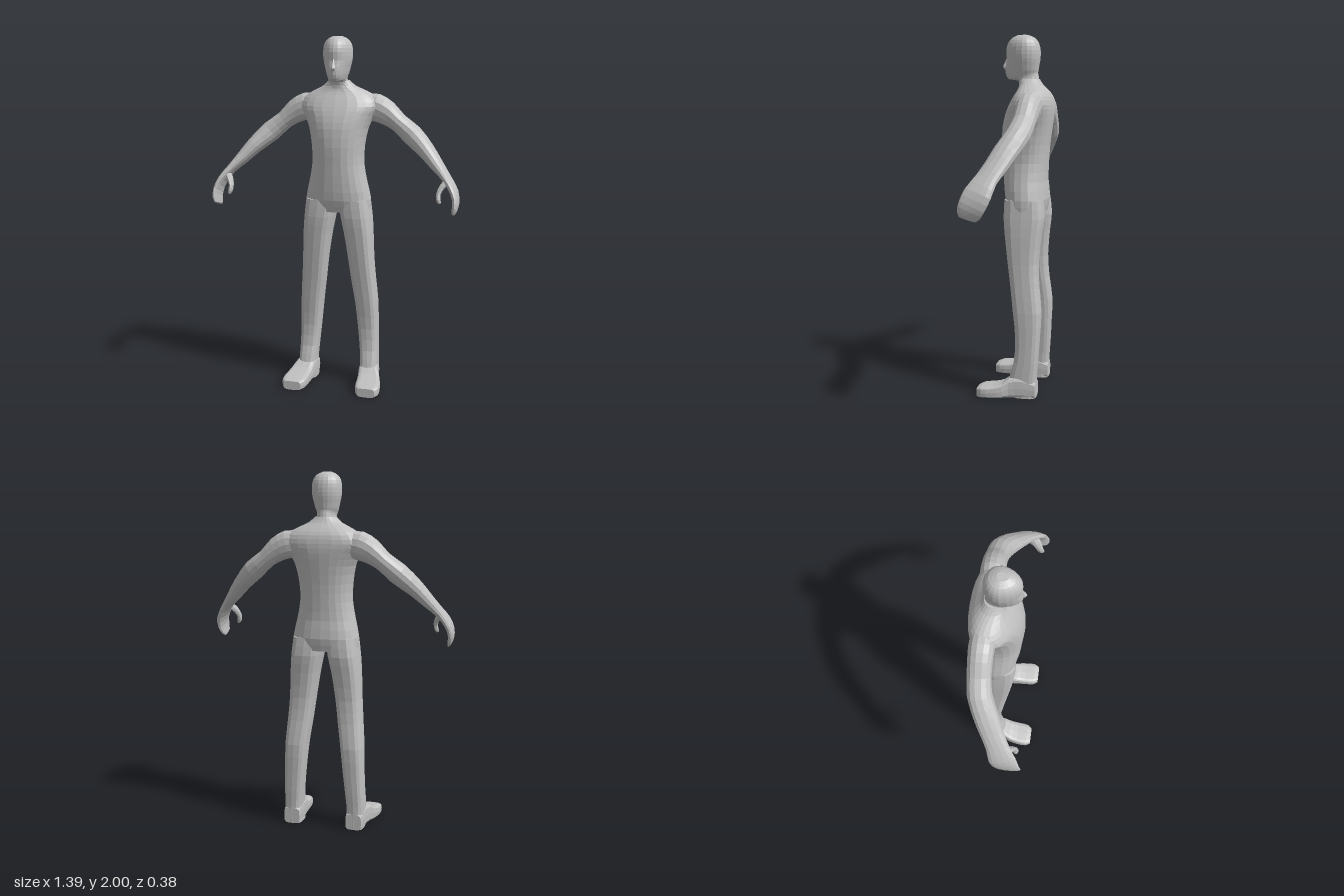
import * as THREE from 'three';

const V = (x, y, z) => new THREE.Vector3(x, y, z);
const skin = new THREE.MeshStandardMaterial({ color: 0xc0c0c0, flatShading: true });
skin.name = 'plain grey';

// signed power used for rounded-box cross-sections
const sp = (c, e) => Math.sign(c) * Math.pow(Math.abs(c), 2 / e);

// Horizontal ring; front and back may have different depths around z = zc,
// tilt raises the front edge relative to the back
function flatRing({ x = 0, y, w, zf, zb, zc = (zf + zb) / 2, e = 2.3, tilt = 0 }, n = 20) {
  return Array.from({ length: n }, (_, i) => {
    const a = (i / n) * Math.PI * 2;
    const c = sp(Math.cos(a), e), s = sp(Math.sin(a), e);
    return V(x + w * s, y + tilt * c, zc + c * (c > 0 ? zf - zc : zc - zb));
  });
}

// Rings along a limb path: each step is [x, y, z, half depth, half thickness]
function limbRings(steps, e = 2.2, n = 14) {
  const curve = new THREE.CatmullRomCurve3(steps.map(p => V(p[0], p[1], p[2])));
  return steps.map((p, k) => {
    const t = curve.getTangent(k / (steps.length - 1));
    const u = V(0, 0, 1).addScaledVector(t, -t.z).normalize();
    const v = t.clone().cross(u);
    return Array.from({ length: n }, (_, i) => {
      const a = (i / n) * Math.PI * 2;
      return V(p[0], p[1], p[2])
        .addScaledVector(u, p[3] * sp(Math.cos(a), e))
        .addScaledVector(v, p[4] * sp(Math.sin(a), e));
    });
  });
}

// Skin through the rings with smooth in-between rings and closed ends
function loft(name, rings, side = 1, sub = 2) {
  const n = rings[0].length, rows = (rings.length - 1) * sub + 1;
  const cols = rings[0].map((_, i) =>
    new THREE.CatmullRomCurve3(rings.map(r => r[i])).getPoints(rows - 1));
  const pos = [], idx = [];
  for (let r = 0; r < rows; r++)
    for (let i = 0; i < n; i++) pos.push(cols[i][r].x * side, cols[i][r].y, cols[i][r].z);
  const tri = (a, b, c) => (side > 0 ? idx.push(a, b, c) : idx.push(a, c, b));
  for (let r = 0; r < rows - 1; r++)
    for (let i = 0; i < n; i++) {
      const j = (i + 1) % n, a = r * n + i, b = r * n + j;
      tri(a, b, b + n);
      tri(a, b + n, a + n);
    }
  for (const [r, end] of [[0, false], [rows - 1, true]]) {
    const c = V(0, 0, 0);
    cols.forEach(col => c.addScaledVector(col[r], 1 / n));
    const k = pos.length / 3;
    pos.push(c.x * side, c.y, c.z);
    for (let i = 0; i < n; i++) {
      const a = r * n + i, b = r * n + ((i + 1) % n);
      end ? tri(a, b, k) : tri(b, a, k);
    }
  }
  const g = new THREE.BufferGeometry();
  g.setAttribute('position', new THREE.Float32BufferAttribute(pos, 3));
  g.setIndex(idx);
  g.computeVertexNormals();
  const m = new THREE.Mesh(g, skin);
  m.name = name;
  return m;
}

export function createModel() {
  const body = new THREE.Group();
  body.name = 'figure';

  // Torso, from crotch to base of neck: y, half width, front, back, widest z
  body.add(loft('torso', [
    [1.03, 0.186, 0.05, -0.155, -0.05], [1.1, 0.186, 0.072, -0.168, -0.05],
    [1.2, 0.164, 0.083, -0.16, -0.045], [1.3, 0.146, 0.09, -0.163, -0.045],
    [1.4, 0.149, 0.096, -0.17, -0.05], [1.5, 0.168, 0.09, -0.182, -0.065],
    [1.57, 0.2, 0.072, -0.19, -0.085], [1.62, 0.228, 0.05, -0.19, -0.1],
    [1.665, 0.208, 0.025, -0.18, -0.1], [1.7, 0.155, 0.005, -0.157, -0.09],
    [1.73, 0.092, -0.002, -0.13, -0.07], [1.76, 0.058, 0, -0.113, -0.055],
  ].map(([y, w, zf, zb, zc]) => flatRing({ y, w, zf, zb, zc }, 24))));

  // Head with neck: y, half width, front, back, front tilt
  const headRings = [
    [1.725, 0.06, 0, -0.115, -0.01], [1.763, 0.052, 0.005, -0.108, -0.012],
    [1.778, 0.054, 0.062, -0.104, -0.018], [1.8, 0.062, 0.08, -0.106, -0.008],
    [1.835, 0.071, 0.08, -0.11, 0], [1.87, 0.08, 0.073, -0.116, 0],
    [1.915, 0.083, 0.076, -0.117, 0], [1.955, 0.077, 0.066, -0.108, 0],
    [1.983, 0.058, 0.044, -0.088, 0], [2.0, 0.024, 0.01, -0.05, 0],
  ].map(([y, w, zf, zb, tilt]) => flatRing({ y, w, zf, zb, zc: -0.03, e: 2.1, tilt }));
  // face narrows towards the front
  headRings.forEach((ring, k) => k > 1 && ring.forEach(p => {
    if (p.z > -0.03) p.x *= 1 - 1.6 * (p.z + 0.03);
  }));
  body.add(loft('head', headRings));

  // Nose
  body.add(loft('nose', [
    [1.81, 0.012, 0.08], [1.828, 0.016, 0.097], [1.85, 0.01, 0.087], [1.88, 0.006, 0.073],
  ].map(([y, w, zf]) => flatRing({ y, w, zf, zb: 0.04 }, 8))));

  for (const [side, label] of [[1, 'left'], [-1, 'right']]) {
    // Leg from heel to hip: y, inner x, outer x, front, back
    body.add(loft(label + 'Leg', [
      [0, 0.132, 0.235, 0, -0.138], [0.1, 0.135, 0.236, 0.016, -0.138],
      [0.2, 0.128, 0.234, -0.01, -0.145], [0.33, 0.115, 0.23, -0.018, -0.152],
      [0.48, 0.1, 0.226, -0.002, -0.158], [0.62, 0.08, 0.215, 0.015, -0.142],
      [0.75, 0.064, 0.205, 0.033, -0.136], [0.9, 0.042, 0.198, 0.052, -0.15],
      [1.0, 0.022, 0.19, 0.062, -0.163], [1.1, 0.008, 0.178, 0.06, -0.155],
    ].map(([y, a, b, zf, zb]) =>
      flatRing({ x: (a + b) / 2, y, w: (b - a) / 2, zf, zb, e: 3.2 }, 16)), side));

    // Foot, from heel to toe: z, centre x, half width, height
    body.add(loft(label + 'Foot', [
      [-0.137, 0.184, 0.046, 0.09], [-0.06, 0.186, 0.056, 0.12],
      [0.01, 0.194, 0.06, 0.11], [0.045, 0.204, 0.066, 0.085],
      [0.1, 0.212, 0.07, 0.07], [0.16, 0.216, 0.068, 0.062], [0.188, 0.217, 0.05, 0.052],
    ].map(([z, x, w, h]) => Array.from({ length: 16 }, (_, i) => {
      const a = (i / 16) * Math.PI * 2;
      return V(x + w * sp(Math.cos(a), 4.5), h / 2 + (h / 2) * sp(Math.sin(a), 4.5), z);
    })), side));

    // Arm from inside the shoulder to the flat mitten hand
    body.add(loft(label + 'Arm', limbRings([
      [0.14, 1.615, -0.1, 0.06, 0.07], [0.2, 1.61, -0.1, 0.066, 0.078],
      [0.265, 1.58, -0.1, 0.064, 0.068], [0.33, 1.53, -0.097, 0.062, 0.052],
      [0.41, 1.465, -0.085, 0.065, 0.058], [0.5, 1.382, -0.04, 0.066, 0.046],
      [0.56, 1.315, -0.005, 0.062, 0.036], [0.615, 1.255, 0.03, 0.062, 0.025],
      [0.662, 1.19, 0.06, 0.074, 0.021], [0.68, 1.13, 0.086, 0.07, 0.017],
      [0.676, 1.085, 0.105, 0.06, 0.014], [0.67, 1.065, 0.112, 0.045, 0.009],
    ]), side));

    // Thumb curling down in front of the palm
    body.add(loft(label + 'Thumb', limbRings([
      [0.628, 1.235, 0.065, 0.028, 0.018], [0.603, 1.205, 0.092, 0.025, 0.015],
      [0.589, 1.17, 0.112, 0.02, 0.012], [0.592, 1.14, 0.122, 0.018, 0.012],
      [0.599, 1.124, 0.126, 0.01, 0.008],
    ], 2.2, 8), side));
  }
  return body;
}
